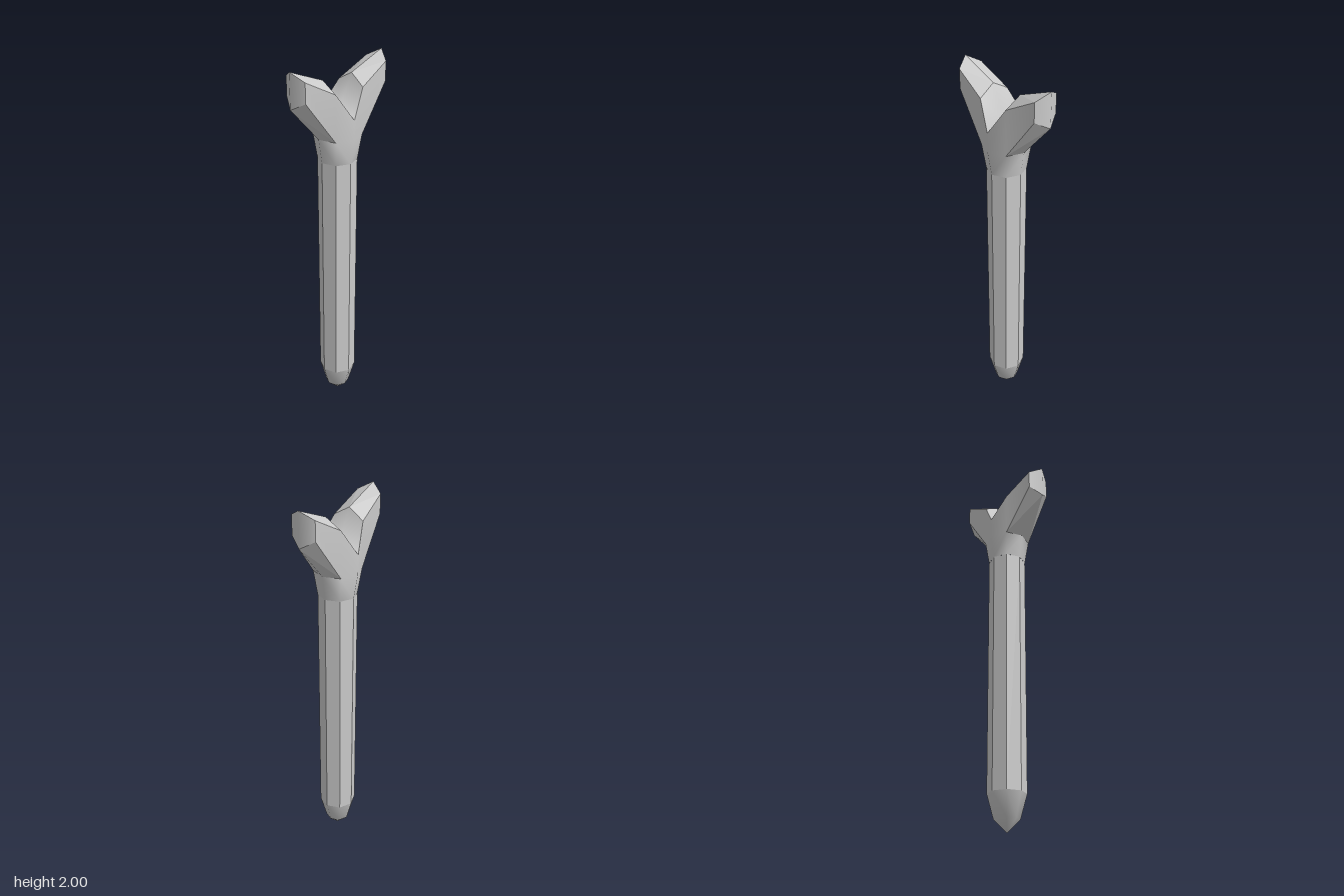
import * as THREE from 'three';
import { mergeVertices } from 'three/addons/utils/BufferGeometryUtils.js';

const smooth = new THREE.MeshStandardMaterial({ color: 0xcccccc });
const flat = new THREE.MeshStandardMaterial({ color: 0xcccccc, flatShading: true });

// Quads of one quadrant (+x, +z), mirrored into all four and welded.
function mirroredQuads(quads) {
  const pos = [];
  for (const sx of [1, -1]) {
    for (const sz of [1, -1]) {
      for (const [a, b, c, d] of quads) {
        const corners = sx * sz > 0 ? [a, b, c, a, c, d] : [a, c, b, a, d, c];
        for (const [x, y, z] of corners) pos.push(x * sx, y, z * sz);
      }
    }
  }
  let geometry = new THREE.BufferGeometry();
  geometry.setAttribute('position', new THREE.Float32BufferAttribute(pos, 3));
  geometry = mergeVertices(geometry);
  geometry.computeVertexNormals();
  return geometry;
}

export function createModel() {
  const group = new THREE.Group();
  const add = (name, geometry, material) => {
    const mesh = new THREE.Mesh(geometry, material);
    mesh.name = name;
    group.add(mesh);
    return mesh;
  };

  // Eight-sided shaft
  add('shaft', new THREE.CylinderGeometry(0.1, 0.1, 1.31, 8, 1, true), flat).position.y = 0.845;

  // Rounded point at the bottom
  const profile = [[0, 0], [0.066, 0.065], [0.1, 0.19]].map(([r, y]) => new THREE.Vector2(r, y));
  add('tip', new THREE.LatheGeometry(profile, 8), smooth);

  // Fork corners: collar bottom, collar top, valley, arm root, arm end
  const a0 = [0, 1.5, 0.1], a1 = [0.071, 1.5, 0.071], a2 = [0.1, 1.5, 0];
  const b0 = [0, 1.63, 0.124], b1 = [0.085, 1.63, 0.087], b2 = [0.12, 1.63, 0];
  const v0 = [0, 1.735, 0], v1 = [0, 1.735, 0.124];
  const c1 = [0.085, 1.87, 0.087], c2 = [0.09, 1.92, 0];
  const d1 = [0.25, 1.86, 0.07], d2 = [0.285, 1.82, 0];
  const e1 = [0.25, 1.96, 0.07], e2 = [0.285, 2, 0];

  add('forkBody', mirroredQuads([
    [a0, a1, b1, b0], [a1, a2, b2, b1], [b0, b1, c1, v1], [b1, d1, e1, c1],
  ]), smooth);
  add('forkValley', mirroredQuads([[v0, v1, c1, c2]]), smooth);
  add('armTops', mirroredQuads([[c2, c1, e1, e2]]), flat);
  add('armUndersides', mirroredQuads([[b1, b2, d2, d1]]), flat);
  add('armEnds', mirroredQuads([[d1, d2, e2, e1]]), smooth);

  return group;
}
